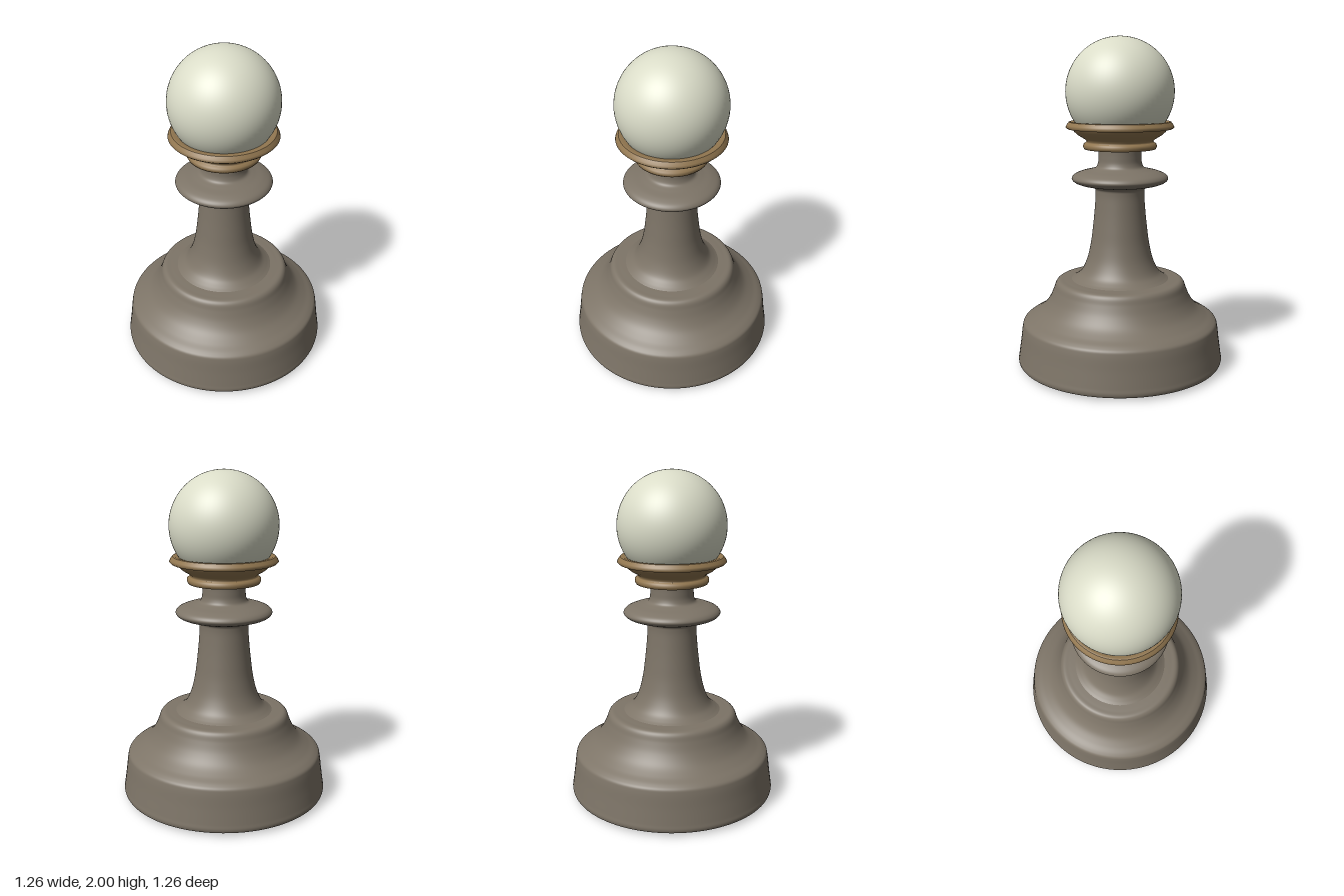
import * as THREE from 'three';

const stone = new THREE.MeshStandardMaterial({ name: 'warm grey', color: 0x7d7467 });
const brass = new THREE.MeshStandardMaterial({ name: 'brass', color: 0x927750, side: THREE.DoubleSide });
const ivory = new THREE.MeshStandardMaterial({ name: 'ivory', color: 0xdadcc8 });

const SIDES = 96;
const toPoints = (pairs) => pairs.map(([r, y]) => new THREE.Vector2(r, y));

// Rounds a few profile points into a smooth curve
function smooth(pairs, steps) {
  return new THREE.CatmullRomCurve3(pairs.map(([r, y]) => new THREE.Vector3(r, y, 0)), false, 'centripetal')
    .getPoints(steps)
    .map((p) => new THREE.Vector2(Math.max(p.x, 0), p.y));
}

// Turned part; profile runs from bottom to top on the outside
function turn(name, points, material) {
  const mesh = new THREE.Mesh(new THREE.LatheGeometry(points, SIDES), material);
  mesh.name = name;
  return mesh;
}

export function createModel() {
  const group = new THREE.Group();
  group.name = 'chessPawn';

  // Slightly domed underside
  group.add(turn('underside', toPoints([[0, 0], [0.3, 0.005], [0.55, 0.011], [0.61, 0.016]]), stone));

  // Tapered drum with a concave shoulder
  group.add(turn('base', smooth([
    [0.61, 0.016], [0.626, 0.022], [0.632, 0.04], [0.628, 0.07], [0.615, 0.16], [0.603, 0.25],
    [0.596, 0.274], [0.575, 0.292], [0.53, 0.318], [0.475, 0.36], [0.435, 0.415], [0.408, 0.475],
    [0.393, 0.515], [0.376, 0.53], [0.34, 0.534], [0.29, 0.537],
  ], 90), stone));

  // Flared stem, rounded disc and neck in one flowing profile
  group.add(turn('stem', smooth([
    [0.30, 0.535], [0.275, 0.55], [0.24, 0.58], [0.205, 0.65], [0.18, 0.75], [0.165, 0.86],
    [0.153, 0.98], [0.148, 1.07], [0.152, 1.095], [0.18, 1.112], [0.24, 1.123], [0.28, 1.14],
    [0.292, 1.158], [0.28, 1.178], [0.24, 1.197], [0.18, 1.212], [0.145, 1.225], [0.133, 1.25],
    [0.13, 1.29], [0.13, 1.345],
  ], 120), stone));

  // Grey seat closing the bottom of the collar
  group.add(turn('neckSeat', toPoints([[0.12, 1.342], [0.2, 1.342]]), stone));

  // Stepped collar, one band per crisp moulding
  const collar = new THREE.Group();
  collar.name = 'collar';
  const bands = {
    lowerRing: [[0.19, 1.336], [0.215, 1.336], [0.222, 1.35], [0.22, 1.366], [0.205, 1.375]],
    cup: [[0.205, 1.375], [0.198, 1.383], [0.215, 1.397], [0.25, 1.418], [0.275, 1.44], [0.285, 1.455]],
    rimUnderside: [[0.285, 1.455], [0.315, 1.457]],
    rimEdge: [[0.315, 1.457], [0.325, 1.467], [0.32, 1.48], [0.306, 1.498]],
    rimTop: [[0.306, 1.498], [0.295, 1.501], [0.268, 1.494]],
  };
  for (const [name, pairs] of Object.entries(bands)) collar.add(turn(name, toPoints(pairs), brass));
  group.add(collar);

  // Ball head resting in the collar
  const head = new THREE.Mesh(new THREE.SphereGeometry(0.325, 64, 48), ivory);
  head.name = 'head';
  head.position.y = 1.675;
  group.add(head);

  return group;
}
